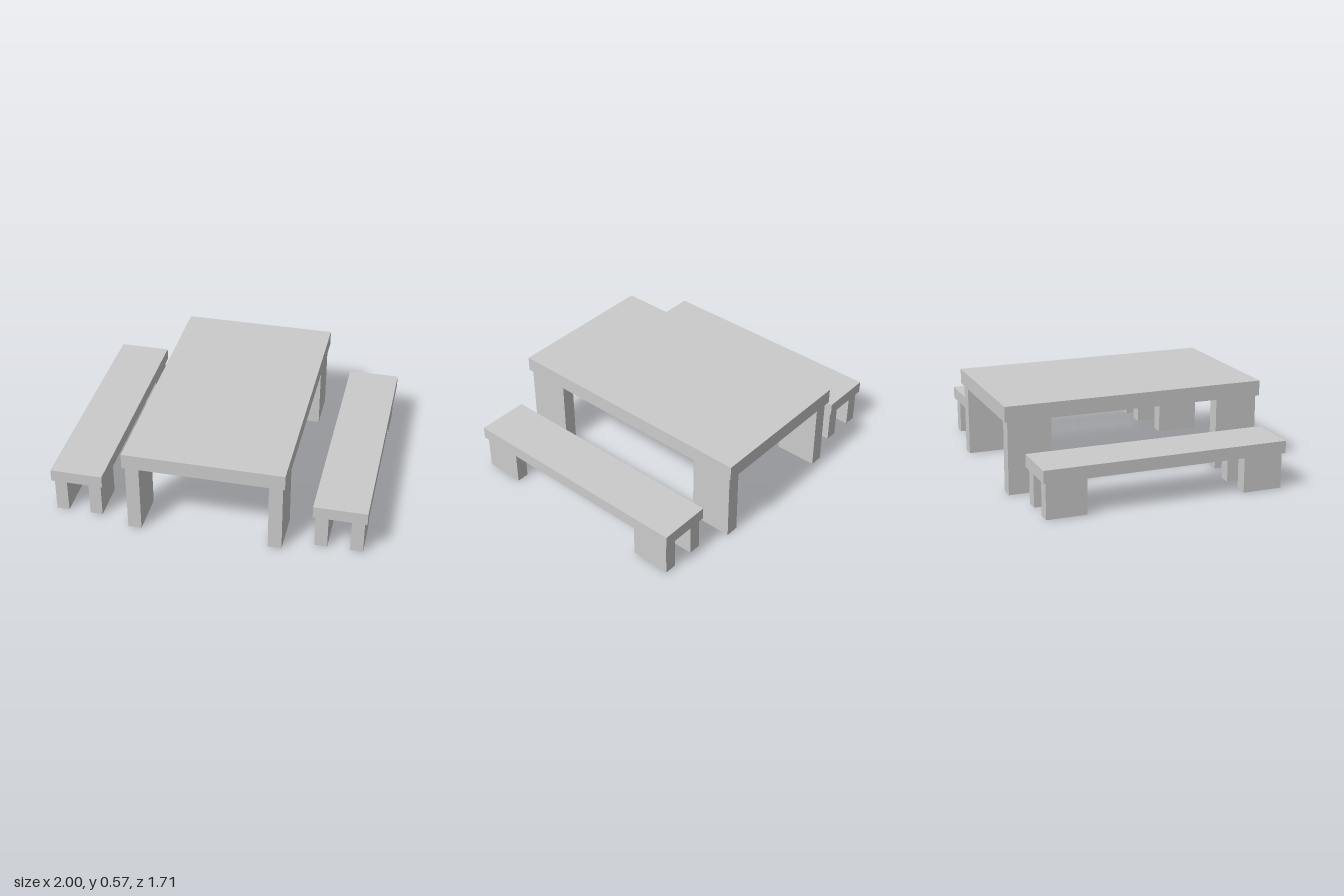
import * as THREE from 'three';

const material = new THREE.MeshStandardMaterial({ color: 0xcccccc, flatShading: true });

// Box standing on height y
function block(name, w, h, d, x, y, z) {
  const mesh = new THREE.Mesh(new THREE.BoxGeometry(w, h, d), material);
  mesh.name = name;
  mesh.position.set(x, y + h / 2, z);
  return mesh;
}

// A slab on four plank legs, used for the table and both benches
function slabOnLegs(name, slabName, slab, leg, legX, legZ, base) {
  const group = new THREE.Group();
  group.name = name;
  group.add(block(slabName, slab.w, slab.h, slab.d, 0, base + leg.h, 0));
  for (const sx of [-1, 1]) {
    for (const sz of [-1, 1]) {
      const legName = (sz > 0 ? 'front' : 'back') + (sx > 0 ? 'Left' : 'Right') + 'Leg';
      group.add(block(legName, leg.w, leg.h, leg.d, sx * legX, base, sz * legZ));
    }
  }
  return group;
}

export function createModel() {
  const model = new THREE.Group();
  model.name = 'picnicTable';

  // Table
  model.add(slabOnLegs('table', 'tableTop',
    { w: 1.01, h: 0.098, d: 1.714 }, { w: 0.086, h: 0.468, d: 0.28 }, 0.447, 0.698, 0));

  // Benches on both sides
  for (const side of [-1, 1]) {
    const bench = slabOnLegs(side > 0 ? 'leftBench' : 'rightBench', 'seat',
      { w: 0.334, h: 0.079, d: 1.566 }, { w: 0.08, h: 0.228, d: 0.256 }, 0.111, 0.638, 0.005);
    bench.position.x = side * 0.833;
    model.add(bench);
  }
  return model;
}
